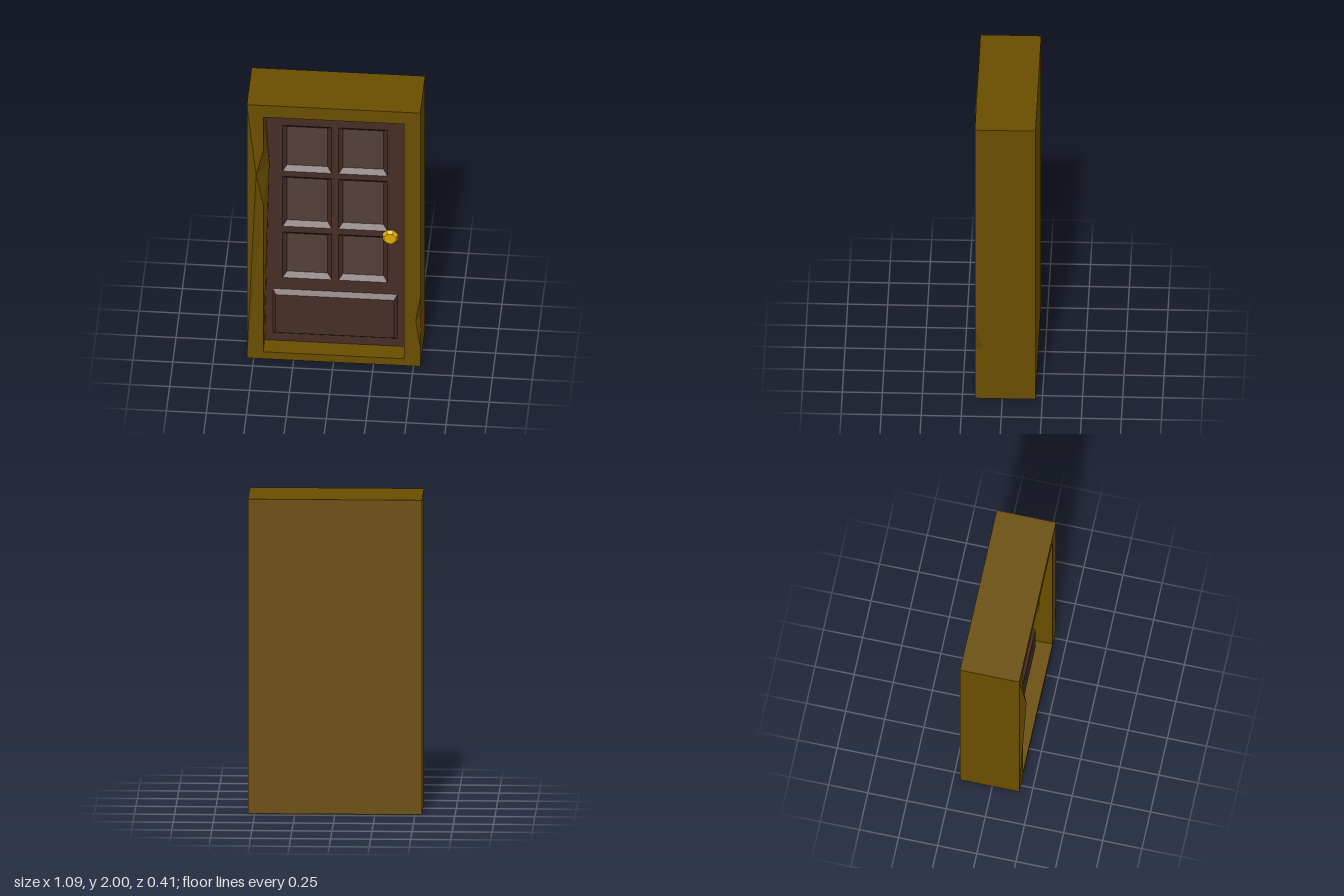
import * as THREE from 'three';

const X = 0.543, H = 2, F = 0.172, B = -0.207;        // outer frame: half width, height, front, back
const IX = 0.44, Y0 = 0.055, Y1 = 1.907, DZ = 0.048;  // door opening and door plane

const mat = (color) => new THREE.MeshStandardMaterial({ color, flatShading: true });

// Triangle fans (first point is the hub), all counter-clockwise from outside
function fanMesh(name, fans, material) {
  const pos = [];
  for (const [hub, ...ring] of fans)
    for (let i = 0; i + 1 < ring.length; i++) pos.push(...hub, ...ring[i], ...ring[i + 1]);
  const geo = new THREE.BufferGeometry();
  geo.setAttribute('position', new THREE.Float32BufferAttribute(pos, 3));
  geo.computeVertexNormals();
  const mesh = new THREE.Mesh(geo, material);
  mesh.name = name;
  return mesh;
}

// Corners of a rectangle, counter-clockwise from the front
const rect = (x0, x1, y0, y1, z) => [[x0, y0, z], [x1, y0, z], [x1, y1, z], [x0, y1, z]];

// Four sloping quads between an outer and an inner rectangle
const bevel = (o, i) => o.map((p, k) => [p, o[(k + 1) % 4], i[(k + 1) % 4], i[k]]);

function makeFrame(material) {
  const [f0, f1, f2, f3] = rect(-X, X, 0, H, F);
  const [b0, b1, b2, b3] = rect(-X, X, 0, H, B);
  const [i0, i1, i2, i3] = rect(-IX, IX, Y0, Y1, F);
  const [d0, d1, d2, d3] = rect(-IX, IX, Y0, Y1, DZ);
  // splintered bulge on one jamb
  const peak = [-0.482, 1.475, 0.205], bulge = [-0.41, 1.465, 0.07];
  const sHi = [-IX, 1.64, F], sLo = [-IX, 1.22, F];
  // chip in the opposite outer edge
  const chipIn = [0.514, 0.36, F], chipSide = [X, 0.36, 0.12];
  const cHi = [X, 0.545, F], cLo = [X, 0.15, F];
  return fanMesh('doorFrame', [
    [b1, b0, b3, b2],                                   // back
    [f3, f2, b2, b3], [b0, b1, f1, f0],                 // top, bottom
    [b0, f0, f3, b3],                                   // plain outer side
    [chipSide, cLo, f1, b1, b2, f2, cHi],               // chipped outer side
    [chipIn, chipSide, cHi], [chipIn, cLo, chipSide],   // chip
    [f3, i3, i2, f2], [f0, f1, i1, i0],                 // head and sill fronts
    [chipIn, cHi, f2, i2, i1, f1, cLo],                 // chipped jamb front
    [peak, sHi, f3, f0, sLo],                           // raised part of the bulging jamb
    [f3, sHi, i3], [f0, i0, sLo],                       // flat parts of the bulging jamb
    [bulge, d3, i3, sHi, peak, sLo, i0, d0, d3],        // bulging reveal
    [i1, i2, d2, d1],                                   // plain reveal
    [i3, d3, d2, i2], [i0, i1, d1, d0],                 // head and sill reveals
  ], material);
}

function makeDoor(wood, paneMat) {
  const door = new THREE.Group();
  door.name = 'door';
  const shape = new THREE.Shape(rect(-IX, IX, Y0, Y1, 0).map(([x, y]) => new THREE.Vector2(x, y)));
  const bevels = [], panes = [];

  // six recessed panes
  for (const [y0, y1] of [[0.553, 0.913], [0.958, 1.351], [1.393, 1.755]])
    for (const x0 of [-0.329, 0.021]) {
      const x1 = x0 + 0.306;
      const outer = rect(x0, x1, y0, y1, DZ);
      const inner = rect(x0 + 0.026, x1 - 0.026, y0 + 0.03, y1 - 0.03, DZ - 0.03);
      shape.holes.push(new THREE.Path(outer.map(([x, y]) => new THREE.Vector2(x, y)).reverse()));
      bevels.push(...bevel(outer, inner));
      panes.push(inner);
    }

  const slab = new THREE.Mesh(new THREE.ShapeGeometry(shape), wood);
  slab.name = 'doorSlab';
  slab.position.z = DZ;
  door.add(slab, fanMesh('paneBevels', bevels, wood), fanMesh('panes', panes, paneMat));

  // raised lower panel
  const outer = rect(-0.39, 0.39, 0.115, 0.463, DZ);
  const inner = rect(-0.37, 0.37, 0.14, 0.438, DZ + 0.03);
  door.add(fanMesh('lowerPanel', [...bevel(outer, inner), inner], wood));
  return door;
}

function makeKnob(material) {
  const profile = [[0.022, 0], [0.022, 0.015], [0.053, 0.025], [0.053, 0.037], [0.04, 0.055], [0, 0.055]]
    .map(([r, y]) => new THREE.Vector2(r, y));
  const knob = new THREE.Mesh(new THREE.LatheGeometry(profile, 8, Math.PI / 8), material);
  knob.name = 'doorKnob';
  knob.rotation.x = Math.PI / 2;
  knob.position.set(0.347, 0.94, DZ);
  return knob;
}

export function createModel() {
  const model = new THREE.Group();
  model.name = 'framedDoor';
  model.add(
    makeFrame(mat(0x6a4d00)),
    makeDoor(mat(0x462d26), mat(0x533e37)),
    makeKnob(mat(0xe0aa00)),
  );
  return model;
}
